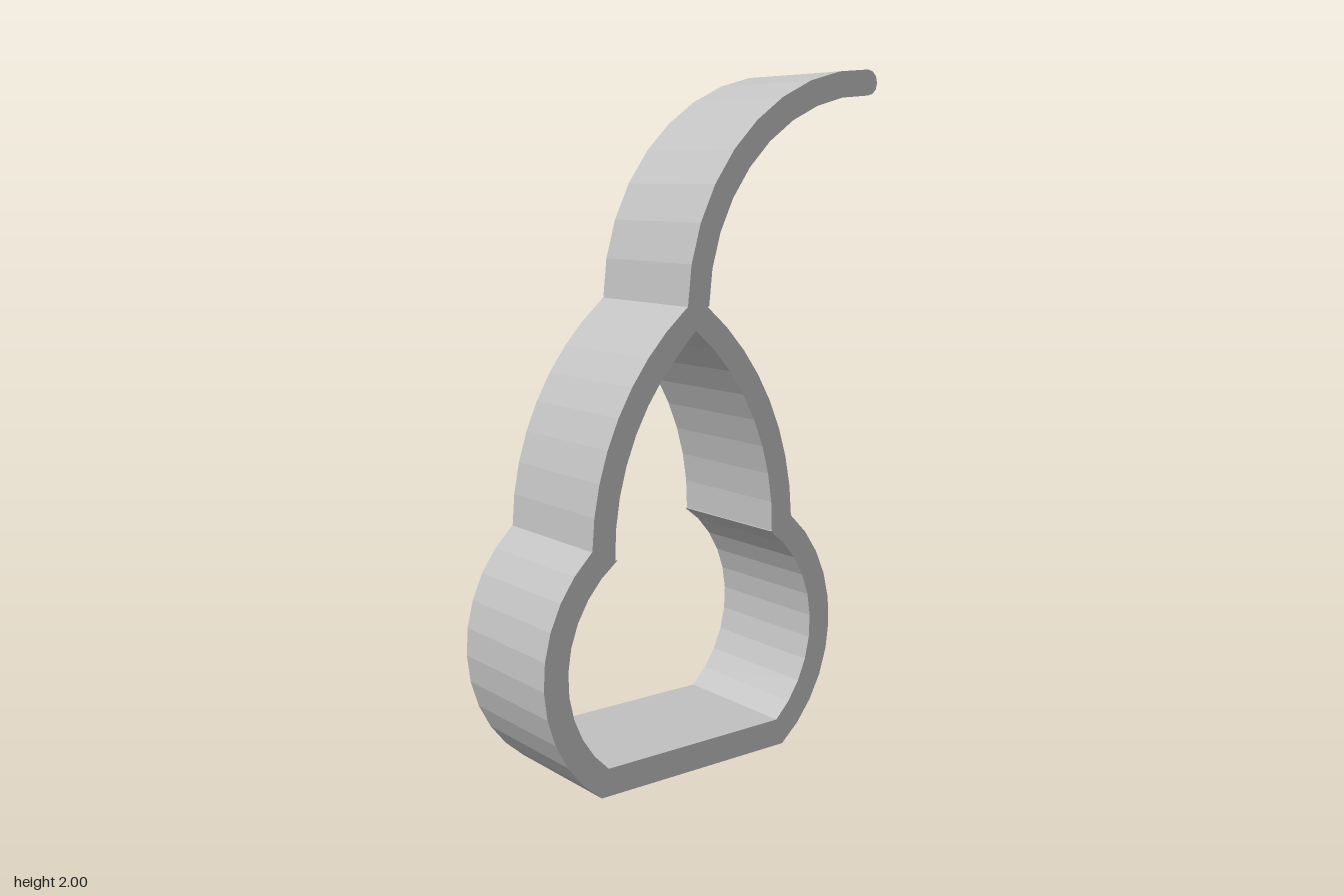
import * as THREE from 'three';

const AXIS = -0.0825; // symmetry line of the pear body
const HALF_DEPTH = 0.2;

// Points on a circle between two angles, ends included
function arc(cx, cy, r, a0, a1, n) {
  return Array.from({ length: n + 1 }, (_, i) => {
    const a = a0 + ((a1 - a0) * i) / n;
    return new THREE.Vector2(cx + r * Math.cos(a), cy + r * Math.sin(a));
  });
}

// Angle on a circle at a given height, on its right side
const angleAt = (cy, r, y) => Math.asin((y - cy) / r);

// Right side of the body from base to neck: round lobe, then tapering shoulder
function rightSide(lobeR, shoulderR, yBase, yWaist, yTop) {
  return [
    ...arc(-0.008, 0.36, lobeR, angleAt(0.36, lobeR, yBase), angleAt(0.36, lobeR, yWaist), 10),
    ...arc(-0.555, 0.68, shoulderR, angleAt(0.68, shoulderR, yWaist), angleAt(0.68, shoulderR, yTop), 8),
  ];
}

const mirrored = (pts) => pts.map((p) => new THREE.Vector2(2 * AXIS - p.x, p.y)).reverse();

export function createModel() {
  const group = new THREE.Group();
  group.name = 'pearCutter';
  const grey = new THREE.MeshStandardMaterial({ color: 0xc0c0c0, flatShading: true });
  grey.name = 'grey';

  // Outline: right side, curved stem with rounded tip, left side
  const outer = rightSide(0.443, 0.83, 0, 0.7, 1.335);
  const stemX = 0.56, stemY = 1.325;
  const stem = [
    ...arc(stemX, stemY, 0.6, Math.PI - 0.02, Math.PI / 2, 9),
    ...arc(stemX, 1.9625, 0.0375, -Math.PI / 2, Math.PI / 2, 6).slice(1, -1),
    ...arc(stemX, stemY, 0.675, Math.PI / 2, Math.PI - 0.02, 9),
  ];
  const shape = new THREE.Shape([...outer, ...stem, ...mirrored(outer)]);

  // Opening inside the body wall
  const inner = rightSide(0.365, 0.755, 0.08, 0.665, 1.272);
  shape.holes.push(new THREE.Path([...inner, ...mirrored(inner).slice(1)]));

  const geometry = new THREE.ExtrudeGeometry(shape, { depth: HALF_DEPTH * 2, bevelEnabled: false });
  geometry.translate(0, 0, -HALF_DEPTH);
  const wall = new THREE.Mesh(geometry, grey);
  wall.name = 'pearWallWithStem';
  group.add(wall);
  return group;
}
